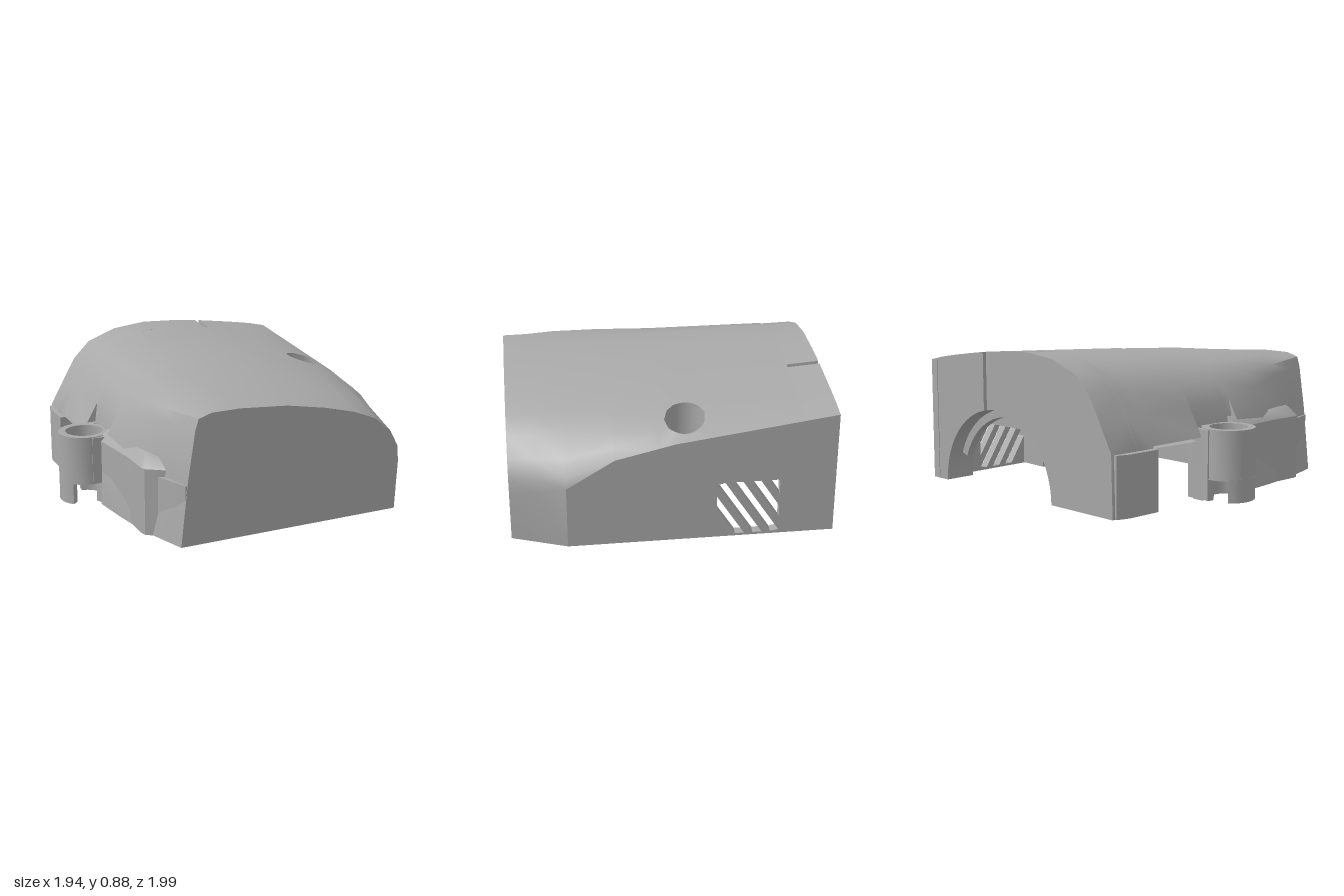
import * as THREE from 'three';
import { toCreasedNormals } from 'three/addons/utils/BufferGeometryUtils.js';

const SKEW = 0.061;   // the ends run at a slight angle: z = w - SKEW * x
const CEIL = 0.36;    // height of the hollow underneath
const WELL = { x: 0.758, z: -0.12, r: 0.12 };

// Cross-sections [w, outline from lower left, over the roof, to lower right]
const KEYS = [
  [0.955, [-.57, 0, -.525, .4, -.48, .68, -.46, .74, -.38, .765, -.2, .767, .1, .745, .35, .7, .55, .65, .7, .59, .81, .5, .865, .4, .875, .3, .86, 0]],
  [0.63, [-.68, 0, -.62, .43, -.57, .66, -.53, .72, -.43, .775, -.22, .79, .1, .775, .38, .74, .6, .69, .76, .63, .88, .53, .95, .44, .97, .38, .97, 0]],
  [0.35, [-.73, 0, -.7, .42, -.62, .6, -.565, .7, -.46, .77, -.25, .8, .05, .805, .3, .78, .52, .745, .68, .7, .8, .65, .9, .6, .955, .55, .955, 0]],
  [0, [-.78, 0, -.76, .38, -.66, .55, -.59, .66, -.48, .76, -.27, .81, 0, .825, .25, .81, .45, .785, .62, .75, .75, .715, .86, .675, .93, .63, .93, 0]],
  [-0.947, [-.78, 0, -.77, .37, -.68, .53, -.6, .67, -.49, .78, -.3, .85, -.08, .875, .15, .865, .35, .845, .5, .825, .64, .805, .76, .785, .87, .76, .87, 0]],
];

function section(w) {
  let k = 0;
  while (k < KEYS.length - 2 && w < KEYS[k + 1][0]) k++;
  const [w0, a] = KEYS[k], [w1, b] = KEYS[k + 1], t = (w - w0) / (w1 - w0);
  const pts = [];
  for (let i = 0; i < 14; i++) {
    let x = a[2 * i] + (b[2 * i] - a[2 * i]) * t;
    const y = a[2 * i + 1] + (b[2 * i + 1] - a[2 * i + 1]) * t;
    if (i < 3 && w <= 0.1 && w >= -0.24) x = Math.max(x, -0.69); // recess beside the screw boss
    pts.push(new THREE.Vector3(x, y, w - SKEW * x));
  }
  return pts;
}

function roofPoint(x, z) {
  const s = section(z + SKEW * x);
  let i = 1;
  while (i < 11 && s[i + 1].x < x) i++;
  const t = (x - s[i].x) / (s[i + 1].x - s[i].x);
  return new THREE.Vector3(x, s[i].y + (s[i + 1].y - s[i].y) * t, z);
}

const shapeOf = (pts) => new THREE.Shape(pts.map(([x, y]) => new THREE.Vector2(x, y)));

function circlePath(x, y, r, n) {
  const p = new THREE.Path();
  for (let i = 0; i <= n; i++) {
    const a = (i / n) * Math.PI * 2;
    p[i ? 'lineTo' : 'moveTo'](x + r * Math.cos(a), y + r * Math.sin(a));
  }
  return p;
}

function arc(cx, cy, r, a0, a1, n) {
  return Array.from({ length: n + 1 }, (_, i) => {
    const a = a0 + (a1 - a0) * i / n;
    return [cx + r * Math.cos(a), cy + r * Math.sin(a)];
  });
}

// Move every vertex of a geometry by a rule
function warp(geo, rule) {
  const p = geo.attributes.position, v = new THREE.Vector3();
  for (let i = 0; i < p.count; i++) {
    rule(v.fromBufferAttribute(p, i));
    p.setXYZ(i, v.x, v.y, v.z);
  }
  return geo;
}

// Upright block from a plan outline of [x, z]
function block(plan, y0, y1, hole) {
  const shape = shapeOf(plan.map(([x, z]) => [x, -z]));
  if (hole) shape.holes.push(hole);
  const g = new THREE.ExtrudeGeometry(shape, { depth: y1 - y0, bevelEnabled: false });
  return g.rotateX(-Math.PI / 2).translate(0, y0, 0);
}

export function createModel() {
  const group = new THREE.Group();
  const grey = new THREE.MeshStandardMaterial({ color: 0xa8a8a8, side: THREE.DoubleSide });
  grey.name = 'grey plastic';
  const add = (name, geo, crease = 0.5) => {
    const mesh = new THREE.Mesh(toCreasedNormals(geo, crease), grey);
    mesh.name = name;
    group.add(mesh);
  };

  // Curved shell with a round well cut through the roof
  const rows = [.955, .8, .63, .35, .105, .1, .05, 0, -.05, -.1, -.15, -.2, -.24, -.245, -.63, -.75];
  const grid = rows.map(section), soup = [];
  const quad = (a, b, c, d) => [a, b, c, a, c, d].forEach((v) => soup.push(v.x, v.y, v.z));
  const [U0, U1, R0, R1] = [8, 12, 5, 12];
  for (let r = 0; r < rows.length - 1; r++) {
    for (let u = 0; u < 13; u++) {
      if (u >= U0 && u < U1 && r >= R0 && r < R1) continue;   // well
      if (u === 12 && r >= 2) continue;                       // slotted side wall
      if (u === 0 && r === 13) continue;                      // side opening
      quad(grid[r][u], grid[r][u + 1], grid[r + 1][u + 1], grid[r + 1][u]);
    }
  }
  const rim = [];
  for (let u = U0; u < U1; u++) rim.push(grid[R0][u]);
  for (let r = R0; r < R1; r++) rim.push(grid[r][U1]);
  for (let u = U1; u > U0; u--) rim.push(grid[R1][u]);
  for (let r = R1; r > R0; r--) rim.push(grid[r][U0]);
  const lip = rim.map((p) => {
    const a = Math.atan2(p.z - WELL.z, p.x - WELL.x);
    return roofPoint(WELL.x + WELL.r * Math.cos(a), WELL.z + WELL.r * Math.sin(a));
  });
  const foot = lip.map((p) => new THREE.Vector3(p.x, CEIL, p.z));
  rim.forEach((p, i) => {
    const j = (i + 1) % rim.length;
    quad(p, rim[j], lip[j], lip[i]);
    quad(lip[i], lip[j], foot[j], foot[i]);
  });
  const shell = new THREE.BufferGeometry();
  shell.setAttribute('position', new THREE.Float32BufferAttribute(soup, 3));
  add('shell', shell, 0.6);

  // Front face, and the bulkhead behind the rear arch
  const cap = (w, pts) => warp(new THREE.ShapeGeometry(shapeOf(pts)), (v) => { v.z = w - SKEW * v.x; });
  add('frontFace', cap(0.955, section(0.955).map((p) => [p.x, p.y])));
  add('bulkhead', cap(-0.75, [...section(-0.75).slice(1, 13).map((p) => [p.x, p.y]), [.88, CEIL], [-.77, CEIL]]));

  // Flat side wall with diagonal vent slots
  const outline = [.63, .35, 0, -.947].map((w) => section(w)[12]).map((p) => [-p.z, p.y]);
  const side = shapeOf([[-0.571, 0], ...outline, [1.0, 0]]);
  for (const s0 of [-0.18, -0.285, -0.39, -0.495, -0.6]) {
    const edge = (s) => [Math.min(0.36, 0.37 - (s + 0.3) / 0.65), Math.max(0.015, 0.37 - (s + 0.67) / 0.65)]
      .map((y) => new THREE.Vector2(-(s - 0.65 * (0.37 - y)), y));
    const [a, b] = edge(s0), [c, d] = edge(s0 - 0.055);
    side.holes.push(new THREE.Path([a, b, d, c]));
  }
  const sideGeo = new THREE.ExtrudeGeometry(side, { depth: 0.06, bevelEnabled: false }).rotateY(Math.PI / 2);
  add('ventedSideWall', warp(sideGeo, (v) => { v.x += 0.91 + (v.z - 0.57) * 0.0637; }));

  // Rear wall in two halves, split by a slit above the arch
  const back = section(-0.947).map((p) => [p.x, p.y]);
  const halves = {
    rearWallLeft: [[.87, 0], ...back.slice(9, 13).reverse(), [.345, .846], ...arc(.23, 0, .5, 1.339, 0, 14)],
    rearWallRight: [[.315, .849], ...back.slice(0, 8).reverse(), ...arc(.23, 0, .5, Math.PI, 1.4, 16)],
  };
  const rearWarp = (v) => {
    const t = (v.z + 0.947) / 0.197, s = THREE.MathUtils.clamp((v.x + 0.1) / 0.97, 0, 1);
    v.y *= 1 - t * (0.012 + 0.024 * s);
    v.x *= 1 + 0.014 * t * s;
    v.z -= SKEW * v.x;
  };
  for (const [name, pts] of Object.entries(halves)) {
    const g = new THREE.ExtrudeGeometry(shapeOf(pts), { depth: 0.197, bevelEnabled: false });
    add(name, warp(g.translate(0, 0, -0.947), rearWarp));
  }

  // Raised rib inside the arch
  const rib = shapeOf([...arc(.23, 0, .505, .35, 2.8, 20), ...arc(.23, 0, .45, 2.8, .35, 20)]);
  add('archRib', warp(new THREE.ExtrudeGeometry(rib, { depth: 0.05, bevelEnabled: false }).translate(0, 0, -0.85), rearWarp));

  // Thick lower frame around the hollow, and the ceiling above it
  const bore = () => circlePath(WELL.x, -WELL.z, 0.065, 10);
  add('lowerFrame', block([[-.54, .985], [.86, .897], [.965, .57], [.91, -.3], [.64, -.3], [.66, 0], [.74, .47],
    [-.6, .54], [-.64, 0], [-.64, -.19], [-.69, -.19], [-.69, .12], [-.72, .3], [-.67, .66]], 0.002, CEIL, bore()));
  const ceiling = shapeOf([[-.6, -.6], [.8, -.6], [.87, .8], [-.77, .7], [-.77, .24], [-.69, .22], [-.69, -.12]]);
  ceiling.holes.push(bore());
  add('ceiling', new THREE.ShapeGeometry(ceiling).rotateX(-Math.PI / 2).translate(0, CEIL, 0));

  // Side bulge towards the front corner
  const bulge = [[-.55, .81], [-.6, .79], [-.65, .755], [-.69, .73], [-.7, .69], [-.705, .5], [-.735, .28], [-.76, .1], [-.6, .1]];
  add('sideBulge', block(bulge, 0, 0.4));
  const top = block(bulge, 0.4, 0.46);
  add('sideBulgeTop', warp(top, (v) => { if (v.y > 0.43) { v.x = v.x * 0.9 - 0.02; v.z = v.z * 0.93 + 0.01; } }), 0.9);

  // Rear corner foot
  add('rearFoot', block([[-.79, -.88], [-.81, -.8], [-.805, -.58], [-.69, -.58], [-.69, -.88]], 0, 0.36));

  // Screw boss standing off the side, with a stepped bore and cut-away feet
  const cx = -0.812, cz = -0.025;
  const profile = [[.065, .13], [.16, .13], [.16, .43], [.115, .43], [.115, .26], [.065, .26], [.065, .13]];
  const boss = new THREE.LatheGeometry(profile.map(([x, y]) => new THREE.Vector2(x, y)), 24);
  add('screwBoss', boss.translate(cx, 0, cz));
  const footArc = (a0, a1) => block([...arc(cx, cz, .16, a0, a1, 8), ...arc(cx, cz, .112, a1, a0, 8)], 0, 0.14);
  add('bossOuterFoot', footArc(Math.PI - 0.8, Math.PI + 0.8));
  add('bossInnerFoot', footArc(-1.5, 1.2));
  // Webs joining the boss to the shell
  for (const z of [-0.18, 0.125]) {
    add('bossWeb', new THREE.BoxGeometry(0.13, 0.29, 0.03).translate(-0.745, 0.28, z));
  }
  return group;
}
